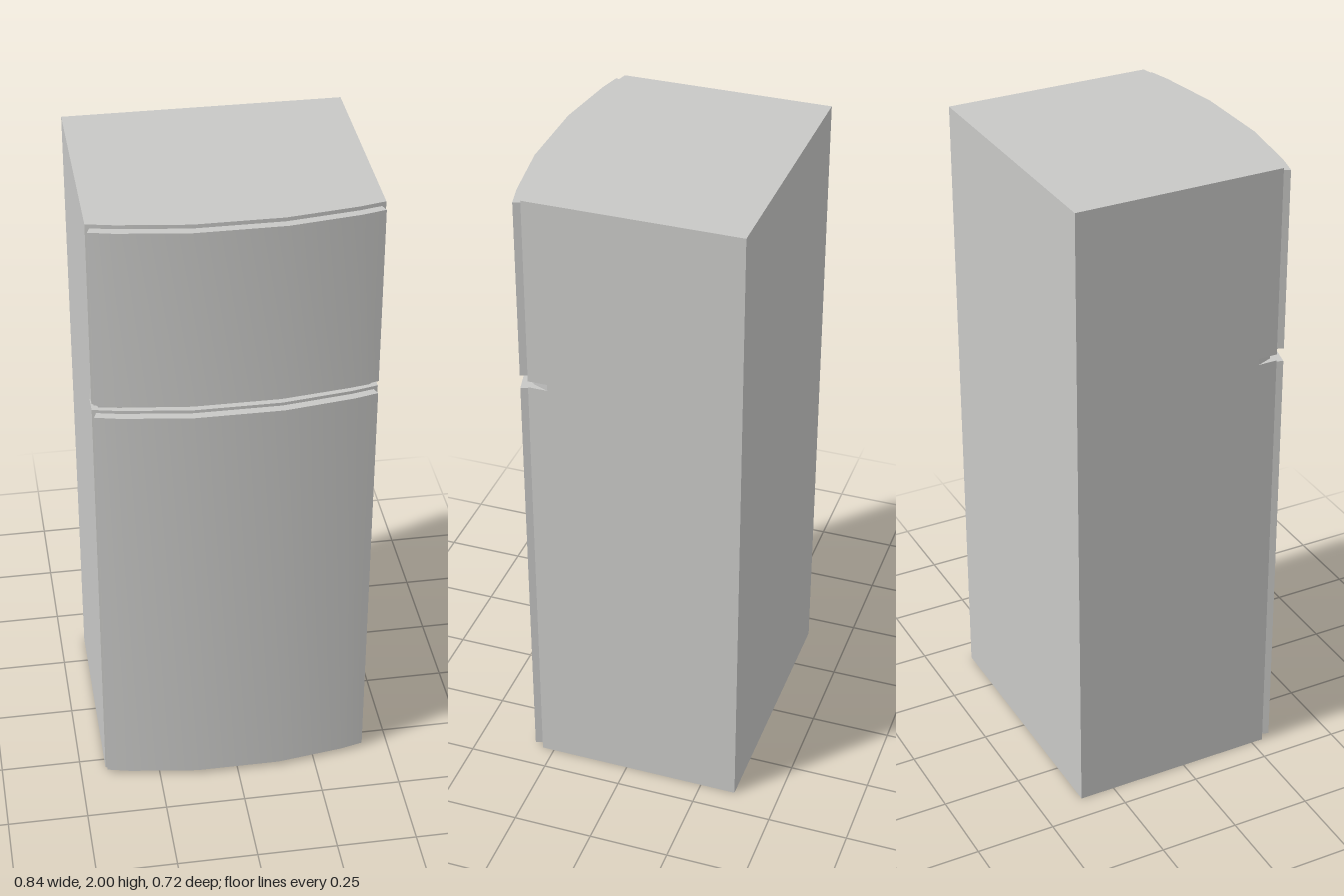
import * as THREE from 'three';
import { toCreasedNormals } from 'three/addons/utils/BufferGeometryUtils.js';

// Mirrors a right-hand outline of [x, z] points, given from back to front.
function mirrored(half) {
  return [...half, ...[...half].reverse().map(([x, z]) => [-x, z])];
}

// Extrudes a plan outline upward from y0 to y1, smooth across the gentle bow.
function slab(name, outline, y0, y1, material) {
  const shape = new THREE.Shape(outline.map(([x, z]) => new THREE.Vector2(x, -z)));
  const geometry = new THREE.ExtrudeGeometry(shape, { depth: y1 - y0, bevelEnabled: false });
  geometry.rotateX(-Math.PI / 2);
  geometry.translate(0, y0, 0);
  const mesh = new THREE.Mesh(toCreasedNormals(geometry, 0.35), material);
  mesh.name = name;
  return mesh;
}

export function createModel() {
  const group = new THREE.Group();
  group.name = 'refrigerator';
  const enamel = new THREE.MeshStandardMaterial({ color: 0xc8c8c6 });
  enamel.name = 'light grey enamel';

  // Plan outlines: bowed cabinet, recessed slot wall, curved door skin
  const cabinet = mirrored([[0.42, -0.362], [0.42, 0.288], [0.34, 0.306], [0.13, 0.335]]);
  const recess = mirrored([[0.42, -0.362], [0.42, 0.228], [0.4, 0.278], [0.34, 0.289], [0.13, 0.316]]);
  const door = [
    ...mirrored([[0.408, 0.291], [0.416, 0.314], [0.345, 0.331], [0.133, 0.361]]),
    [-0.34, 0.306], [-0.13, 0.335], [0.13, 0.335], [0.34, 0.306],
  ];

  // Cabinet, with a finger slot running around the front between the doors
  group.add(slab('lowerCabinet', cabinet, 0, 1.39, enamel));
  group.add(slab('handleSlot', recess, 1.39, 1.41, enamel));
  group.add(slab('upperCabinet', cabinet, 1.41, 2, enamel));

  // Doors
  group.add(slab('fridgeDoor', door, 0.013, 1.38, enamel));
  group.add(slab('freezerDoor', door, 1.422, 1.988, enamel));
  return group;
}
